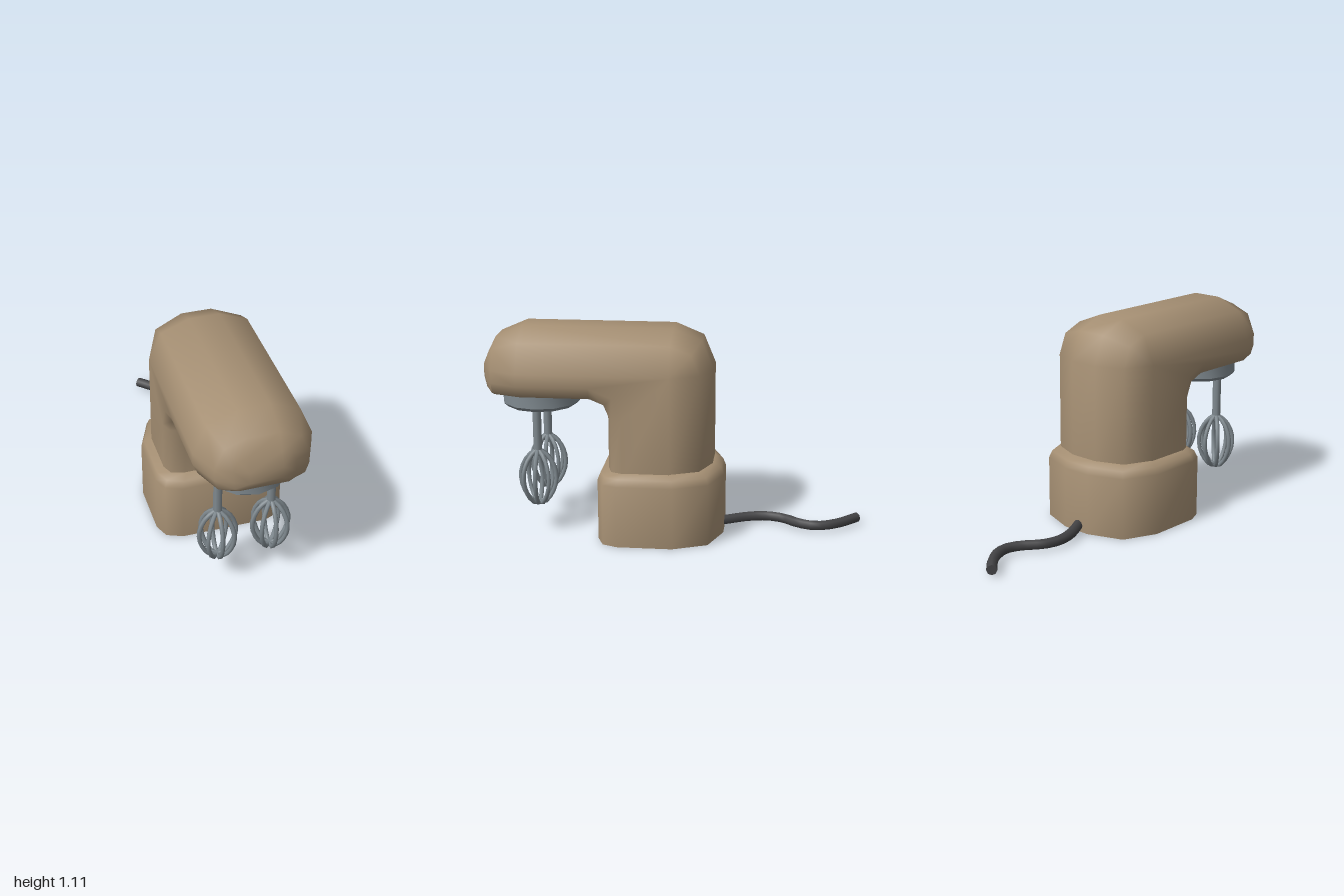
import * as THREE from 'three';
import { toCreasedNormals } from 'three/addons/utils/BufferGeometryUtils.js';

const V = (x, y, z) => new THREE.Vector3(x, y, z);
const shell = new THREE.MeshStandardMaterial({ color: 0xa58f73 });
const steel = new THREE.MeshStandardMaterial({ color: 0x808a90 });
const rubber = new THREE.MeshStandardMaterial({ color: 0x444446 });

function part(name, geometry, material, x = 0, y = 0, z = 0) {
  const mesh = new THREE.Mesh(geometry, material);
  mesh.name = name;
  mesh.position.set(x, y, z);
  return mesh;
}

// Adds the mirrored half to a list of right-hand points, closing the ring
const mirrorRing = half => [...half, ...half.map(p => V(-p.x, p.y, p.z)).reverse()];

// Skins equal-length rings and closes both ends
function loft(rings, crease) {
  const n = rings[0].length;
  const pos = rings.flat().flatMap(p => p.toArray());
  const index = [];
  for (let i = 0; i < rings.length - 1; i++) {
    for (let j = 0; j < n; j++) {
      const k = (j + 1) % n;
      const a = i * n + j, b = i * n + k, c = a + n, d = b + n;
      index.push(a, c, b, b, c, d);
    }
  }
  [0, rings.length - 1].forEach(r => {
    const centre = rings[r].reduce((s, p) => s.add(p), V(0, 0, 0)).divideScalar(n);
    const c = pos.length / 3;
    pos.push(...centre.toArray());
    for (let j = 0; j < n; j++) {
      const a = r * n + j, b = r * n + (j + 1) % n;
      if (r === 0) index.push(c, a, b);
      else index.push(c, b, a);
    }
  });
  const g = new THREE.BufferGeometry();
  g.setAttribute('position', new THREE.Float32BufferAttribute(pos, 3));
  g.setIndex(index);
  return toCreasedNormals(g, crease);
}

// Column and head: one section swept up, round the elbow and into the nose
function bodyGeometry() {
  const outer = [[0.08, 0], [0.23, 0.06], [0.295, 0.21]];   // x, depth from the outer side
  const inner = [[0.295, 0.08], [0.27, 0.022], [0.2, 0]];   // x, depth from the inner side
  const rings = [];
  // Column foot
  rings.push(mirrorRing([
    ...outer.map(([x, d]) => V(x, 0.36, -0.21 + d)),
    ...inner.map(([x, e]) => V(x, 0.36, 0.325 - e))]));
  // Elbow
  for (let i = 0; i <= 2; i++) {
    const a = i * Math.PI / 4, c = Math.cos(a), s = Math.sin(a);
    rings.push(mirrorRing([
      ...outer.map(([x, d]) => V(x, 0.9 + (0.21 - d) * s, -(0.21 - d) * c)),
      ...inner.map(([x, e]) => V(x, 0.665 + (0.09 + e) * s, 0.415 - (0.09 + e) * c))]));
  }
  // Nose: z, roundness of top and sides, roundness of the underside
  [[0.79, 1, 1], [0.93, 0.71, 0.95], [0.97, 0.34, 0.7], [1, 0, 0]].forEach(([z, s, t]) => {
    const w = x => 0.08 + (x - 0.08) * s;
    rings.push(mirrorRing([
      ...outer.map(([x, d]) => V(w(x), 0.9 + (0.21 - d) * s, z)),
      ...inner.map(([x, e]) => V(w(x), 0.835 - (0.08 - e) * t, z))]));
  });
  return loft(rings, 1.1);
}

// Base block with a bevelled top edge
function baseGeometry() {
  const plan = [[0.08, -0.27], [0.27, -0.2], [0.347, -0.02], [0.347, 0.27], [0.315, 0.347], [0.23, 0.382]];
  const levels = [[0, 0], [0.33, 0], [0.367, 0.015], [0.39, 0.055]]; // y, inset
  return loft(levels.map(([y, inset]) => mirrorRing(plan.map(([x, z]) =>
    V(x * (1 - inset / 0.347), y, 0.056 + (z - 0.056) * (1 - inset / 0.326))))), 1);
}

// Whisk: a shaft and eight bowed wires
function beater(name) {
  const group = new THREE.Group();
  group.name = name;
  const shaft = new THREE.CylinderGeometry(0.023, 0.023, 0.25, 8);
  group.add(part('beaterShaft', shaft, steel, 0, 0.565, 0));
  const bow = new THREE.CatmullRomCurve3([
    V(0.012, 0.448, 0), V(0.058, 0.412, 0), V(0.092, 0.34, 0),
    V(0.092, 0.265, 0), V(0.06, 0.19, 0), V(0.025, 0.157, 0), V(0, 0.157, 0)]);
  const wire = new THREE.TubeGeometry(bow, 10, 0.012, 6);
  for (let i = 0; i < 8; i++) {
    const mesh = part('beaterWire', wire, steel);
    mesh.rotation.y = i * Math.PI / 4;
    group.add(mesh);
  }
  return group;
}

// Power cord lying behind the base
function cord() {
  const group = new THREE.Group();
  group.name = 'powerCord';
  const path = new THREE.CatmullRomCurve3([
    [0.02, -0.2], [-0.02, -0.28], [-0.075, -0.39], [-0.095, -0.49], [-0.07, -0.585], [-0.005, -0.67],
    [0.025, -0.75], [0.005, -0.83], [-0.05, -0.91], [-0.125, -0.983]].map(([x, z]) => V(x, 0.036, z)));
  group.add(part('cord', new THREE.TubeGeometry(path, 18, 0.027, 8), rubber));
  const end = path.getPoint(1);
  const cap = part('cordEnd', new THREE.CircleGeometry(0.027, 8), rubber, end.x, end.y, end.z);
  cap.lookAt(end.clone().add(path.getTangent(1)));
  group.add(cap);
  return group;
}

export function createModel() {
  const model = new THREE.Group();
  model.name = 'standMixer';
  model.add(part('base', baseGeometry(), shell));
  model.add(part('columnAndHead', bodyGeometry(), shell));

  // Drive hub under the head
  const hubX = -0.008, hubZ = 0.715;
  const profile = [[0, 0.67], [0.185, 0.67], [0.207, 0.69], [0.207, 0.77], [0, 0.77]]
    .map(([r, y]) => new THREE.Vector2(r, y));
  const hub = toCreasedNormals(new THREE.LatheGeometry(profile, 12), 0.6);
  model.add(part('driveHub', hub, steel, hubX, 0, hubZ));

  [['leftBeater', 1], ['rightBeater', -1]].forEach(([name, side]) => {
    const b = beater(name);
    b.position.set(hubX + side * 0.139, 0, hubZ);
    model.add(b);
  });
  model.add(cord());
  return model;
}
